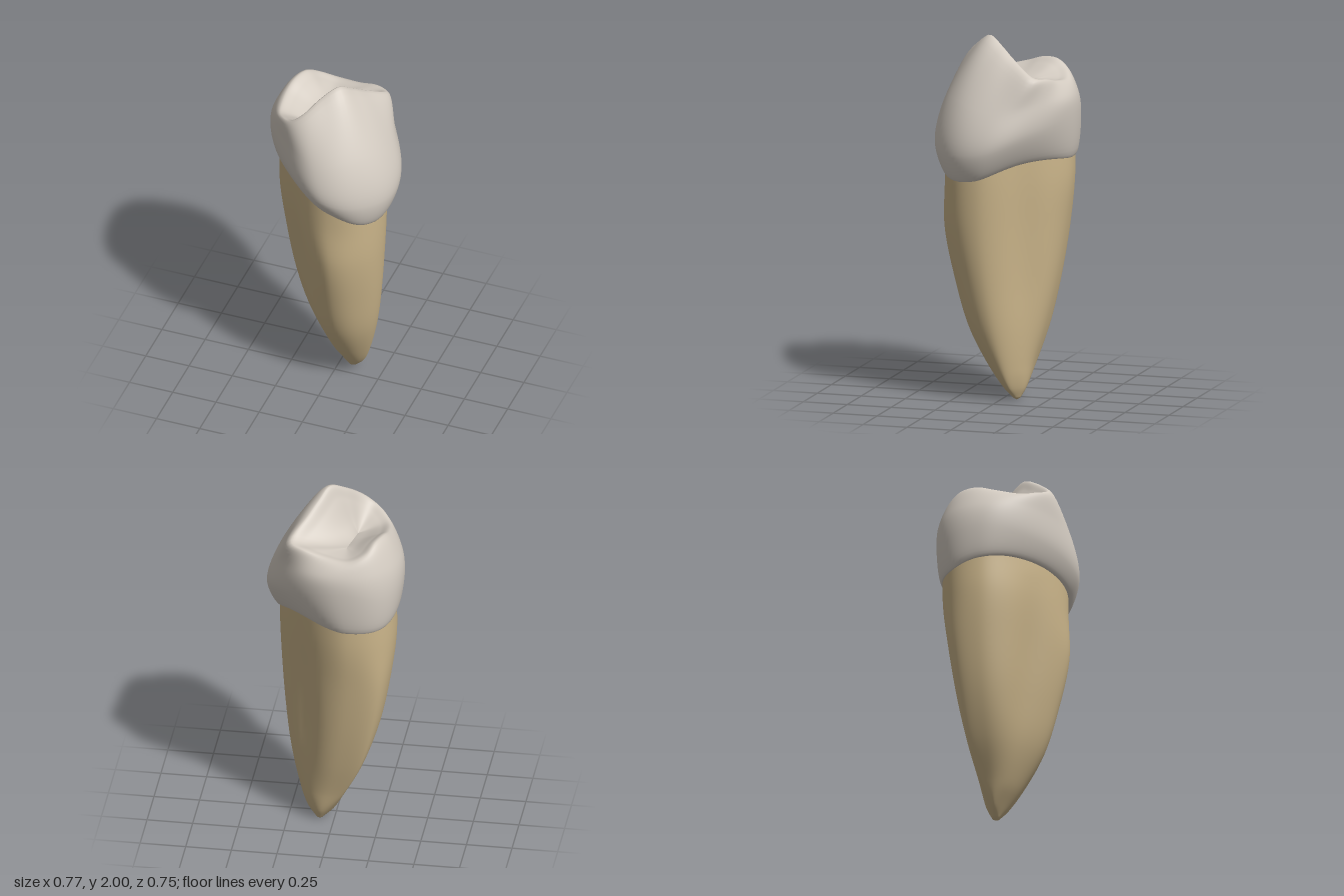
import * as THREE from 'three';

const N = 80; // points around each ring
const V = (x, y, z) => new THREE.Vector3(x, y, z);

// Smooth closed ring touching eight tangent lines. `h` holds their distances from
// the axis, in the order +x, +x+z, +z, -x+z, -x, -x-z, -z, +x-z; `ys` is one
// height or eight.
function ring(h, ys) {
  const heights = Array.isArray(ys) ? ys : Array(8).fill(ys);
  const wave = new THREE.CatmullRomCurve3(heights.map(y => V(0, y, 0)), true, 'catmullrom', 0.5);
  const corners = h.map((a, k) => {
    const t = k * Math.PI / 4, b = h[(k + 1) % 8];
    const s = (b - a * Math.SQRT1_2) / Math.SQRT1_2;
    return V(a * Math.cos(t) - s * Math.sin(t), 0, a * Math.sin(t) + s * Math.cos(t));
  });
  const mids = corners.map((c, k) => c.clone().add(corners[(k + 7) % 8]).multiplyScalar(0.5));
  return Array.from({ length: N }, (_, j) => {
    const u = j / N * 8, k = Math.floor(u), f = u - k;
    const p = V(0, 0, 0)
      .addScaledVector(mids[k], (1 - f) * (1 - f))
      .addScaledVector(corners[k], 2 * f * (1 - f))
      .addScaledVector(mids[(k + 1) % 8], f * f);
    p.y = wave.getPoint(j / N).y;
    return p;
  });
}

// Splines column by column through a few rings, giving many rings
function smoothRows(rings, count) {
  const columns = Array.from({ length: N }, (_, j) =>
    new THREE.CatmullRomCurve3(rings.map(r => r[j]), false, 'centripetal').getPoints(count));
  return Array.from({ length: count + 1 }, (_, i) => columns.map(c => c[i]));
}

// Skin over rings listed from bottom to top
function skin(rows) {
  const pos = [], index = [];
  rows.forEach(r => r.forEach(p => pos.push(p.x, p.y, p.z)));
  for (let i = 0; i < rows.length - 1; i++) {
    for (let j = 0; j < N; j++) {
      const a = i * N + j, b = i * N + (j + 1) % N;
      index.push(a, a + N, b, b, a + N, b + N);
    }
  }
  const g = new THREE.BufferGeometry();
  g.setAttribute('position', new THREE.Float32BufferAttribute(pos, 3));
  g.setIndex(index);
  g.computeVertexNormals();
  return g;
}

function rootGeometry() {
  const neck = [0.32, 0.355, 0.315, 0.25, 0.345, 0.395, 0.335, 0.245];
  const rows = smoothRows([
    ring([0.10, 0.02, -0.06, -0.09, -0.06, 0.02, 0.10, 0.13], 0.01),
    ring([0.15, 0.075, -0.01, -0.05, 0.0, 0.065, 0.13, 0.155], 0.07),
    ring([0.20, 0.15, 0.08, 0.03, 0.07, 0.15, 0.16, 0.18], 0.2),
    ring([0.25, 0.235, 0.185, 0.12, 0.17, 0.25, 0.21, 0.205], 0.4),
    ring([0.285, 0.295, 0.26, 0.18, 0.255, 0.325, 0.26, 0.22], 0.65),
    ring([0.31, 0.345, 0.32, 0.225, 0.315, 0.38, 0.305, 0.235], 0.95),
    ring(neck, 1.2),
    ring(neck, 1.42),
  ], 42);
  // shallow flutes down the two flat sides
  rows.flat().forEach(p => {
    const across = (p.x + p.z) * Math.SQRT1_2, side = (p.x - p.z) * Math.SQRT1_2;
    const fade = Math.sin(Math.PI * THREE.MathUtils.clamp((p.y - 0.15) / 1.2, 0, 1));
    const d = -Math.sign(side - 0.04) * 0.022 * fade * Math.exp(-((across / 0.09) ** 2));
    p.x += d * Math.SQRT1_2;
    p.z -= d * Math.SQRT1_2;
  });
  rows.unshift(Array.from({ length: N }, () => V(0.08, 0, -0.08))); // closed tip
  return skin(rows);
}

function crownGeometry() {
  const neck = [0.33, 0.362, 0.322, 0.258, 0.352, 0.402, 0.342, 0.254];
  const neckY = [1.24, 1.235, 1.315, 1.40, 1.38, 1.33, 1.32, 1.33];
  // crest of the biting surface: tall outer cusp, ridges, lower inner cusp
  const rimCurve = new THREE.CatmullRomCurve3([
    [0.15, 1.89, -0.08], [0.10, 1.95, 0.0], [0.05, 1.998, 0.08], [-0.025, 1.95, 0.155],
    [-0.095, 1.88, 0.23], [-0.16, 1.83, 0.245], [-0.225, 1.80, 0.2], [-0.28, 1.775, 0.11],
    [-0.295, 1.80, -0.02], [-0.28, 1.83, -0.12], [-0.245, 1.83, -0.21], [-0.195, 1.785, -0.28],
    [-0.10, 1.75, -0.31], [0.03, 1.76, -0.295], [0.145, 1.785, -0.275], [0.225, 1.805, -0.21],
  ].map(p => V(...p)), true, 'catmullrom', 0.5);
  const rim = Array.from({ length: N }, (_, j) => rimCurve.getPoint(j / N));
  // biting surface sinking to a short slanted groove; f runs from crest to groove
  const inner = (f, drop) => rim.map(p => {
    const z = THREE.MathUtils.clamp(p.z * 0.5, -0.14, 0.06);
    const q = p.clone().lerp(V(-0.1 - 0.15 * z, 0, z), f);
    q.y = THREE.MathUtils.lerp(p.y, 1.73 - 0.12 * z, drop);
    return q;
  });
  return skin(smoothRows([
    ring(neck.map(d => d - 0.02), neckY),
    ring(neck, neckY.map(y => y + 0.005)),
    ring([0.385, 0.40, 0.375, 0.306, 0.385, 0.425, 0.375, 0.333],
      [1.40, 1.39, 1.42, 1.52, 1.56, 1.53, 1.58, 1.50]),
    ring([0.325, 0.32, 0.345, 0.314, 0.368, 0.40, 0.362, 0.332],
      [1.62, 1.67, 1.63, 1.68, 1.69, 1.69, 1.68, 1.66]),
    rim,
    inner(0.3, 0.28),
    inner(0.7, 0.75),
    inner(1, 1),
  ], 56));
}

export function createModel() {
  const enamel = new THREE.MeshStandardMaterial({ color: 0xd3cbc1 });
  enamel.name = 'enamel';
  const dentine = new THREE.MeshStandardMaterial({ color: 0xccb68b });
  dentine.name = 'dentine';

  const tooth = new THREE.Group();
  tooth.name = 'tooth';
  const add = (name, geometry, material) => {
    const mesh = new THREE.Mesh(geometry, material);
    mesh.name = name;
    tooth.add(mesh);
  };
  add('root', rootGeometry(), dentine);
  add('crown', crownGeometry(), enamel);
  return tooth;
}
